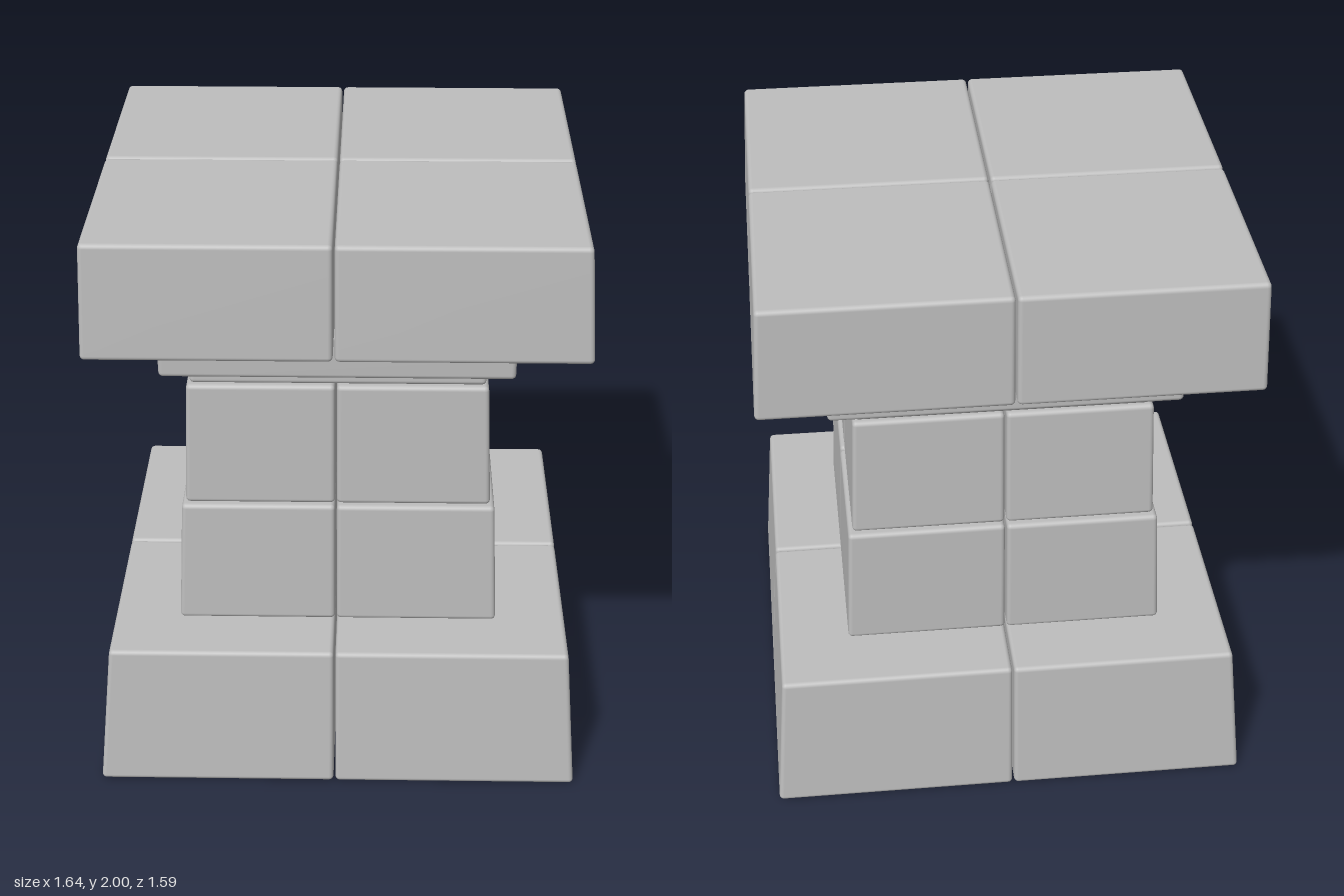
import * as THREE from 'three';
import { RoundedBoxGeometry } from 'three/addons/geometries/RoundedBoxGeometry.js';
import { mergeVertices } from 'three/addons/utils/BufferGeometryUtils.js';

const SEAM_X = -0.01; // where the four blocks of a course meet
const SEAM_Z = 0.003;
const JOINT = 0.003; // half the gap between neighbouring blocks

// Each course: height range and [left x, right x, back z, front z] at its bottom and top
const COURSES = [
  { name: 'base', y: [0, 0.502], low: [-0.82, 0.82, -0.795, 0.8], high: [-0.778, 0.785, -0.763, 0.765], split: true },
  { name: 'lowerShaft', y: [0.502, 0.941], low: [-0.552, 0.545, -0.533, 0.54], high: [-0.535, 0.53, -0.525, 0.525], split: true },
  { name: 'upperShaft', y: [0.943, 1.382], low: [-0.522, 0.515, -0.508, 0.51], high: [-0.51, 0.5, -0.495, 0.5], split: true },
  { name: 'neck', y: [1.382, 1.442], low: [-0.5, 0.492, -0.483, 0.485], high: [-0.495, 0.488, -0.48, 0.482] },
  { name: 'collar', y: [1.446, 1.601], low: [-0.592, 0.583, -0.575, 0.575], high: [-0.595, 0.585, -0.575, 0.577] },
  { name: 'cap', y: [1.61, 2], low: [-0.815, 0.815, -0.79, 0.8], high: [-0.805, 0.795, -0.777, 0.783], split: true },
];

// Rounded block whose rectangular plan changes linearly from low to high
function taperedBlock(y, low, high) {
  const w = low[1] - low[0], h = y[1] - y[0], d = low[3] - low[2];
  const box = new RoundedBoxGeometry(w, h, d, 3, 0.016);
  box.deleteAttribute('normal');
  box.deleteAttribute('uv');
  const geometry = mergeVertices(box, 1e-5);
  const p = geometry.attributes.position;
  const mix = THREE.MathUtils.lerp;
  for (let i = 0; i < p.count; i++) {
    const u = p.getX(i) / w + 0.5, t = p.getY(i) / h + 0.5, v = p.getZ(i) / d + 0.5;
    const plan = low.map((value, k) => mix(value, high[k], t));
    p.setXYZ(i, mix(plan[0], plan[1], u), mix(y[0], y[1], t), mix(plan[2], plan[3], v));
  }
  geometry.computeVertexNormals();
  return geometry;
}

// One quarter of a course plan, on the chosen sides of the seams
function quarter([x0, x1, z0, z1], sx, sz) {
  return [
    sx < 0 ? x0 : SEAM_X + JOINT, sx < 0 ? SEAM_X - JOINT : x1,
    sz < 0 ? z0 : SEAM_Z + JOINT, sz < 0 ? SEAM_Z - JOINT : z1,
  ];
}

export function createModel() {
  const model = new THREE.Group();
  model.name = 'stonePedestal';
  const stone = new THREE.MeshStandardMaterial({ color: 0xbdbdbd });
  stone.name = 'grey stone';

  for (const { name, y, low, high, split } of COURSES) {
    const course = new THREE.Group();
    course.name = name;
    const add = (partName, a, b) => {
      const mesh = new THREE.Mesh(taperedBlock(y, a, b), stone);
      mesh.name = partName;
      course.add(mesh);
    };
    if (split) {
      for (const sx of [-1, 1]) for (const sz of [-1, 1]) {
        const side = (sz > 0 ? 'Front' : 'Back') + (sx > 0 ? 'Left' : 'Right');
        add(name + side + 'Block', quarter(low, sx, sz), quarter(high, sx, sz));
      }
    } else {
      add(name + 'Slab', low, high);
    }
    model.add(course);
  }
  return model;
}
